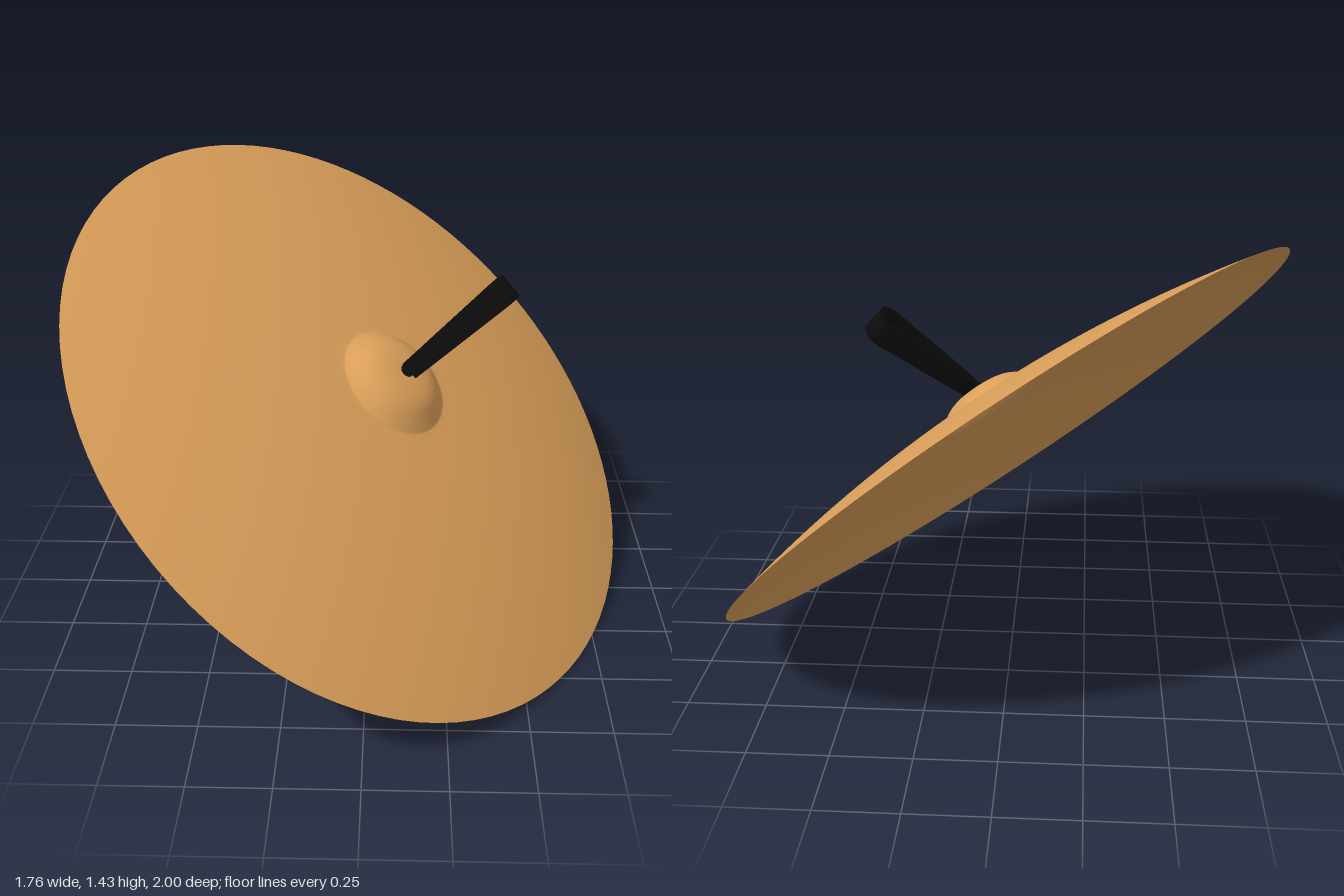
import * as THREE from 'three';

const RADIUS = 1.07;
const BELL_RADIUS = 0.195;
const BOW = 0.146;

const bronze = new THREE.MeshStandardMaterial({ color: 0xdca05a, side: THREE.DoubleSide });
const black = new THREE.MeshStandardMaterial({ color: 0x0c0c0c });

// Thin dish: gently bowed plate rising to a domed bell with a small centre hole
function createPlate() {
  const bowHeight = r => BOW * (1 - (r / RADIUS) ** 2.1);
  const profile = [];
  const steps = 28;
  for (let i = 0; i <= steps; i++) {
    const r = THREE.MathUtils.lerp(RADIUS, BELL_RADIUS, i / steps);
    profile.push(new THREE.Vector2(r, bowHeight(r)));
  }
  const bell = new THREE.SplineCurve([
    [0.19, 0.144], [0.175, 0.155], [0.15, 0.174], [0.125, 0.191],
    [0.095, 0.203], [0.06, 0.209], [0.022, 0.211],
  ].map(p => new THREE.Vector2(...p)));
  profile.push(...bell.getPoints(18));
  const plate = new THREE.Mesh(new THREE.LatheGeometry(profile, 96), bronze);
  plate.name = 'cymbalPlate';
  return plate;
}

// Teardrop outline of the strap loop; x runs along the strap, y across the opening
function teardrop(half, tip, start) {
  return new THREE.SplineCurve([
    [start, 0.003], [start + 0.12, half * 0.45], [tip - 0.13, half * 0.85],
    [tip - 0.05, half], [tip - 0.012, half * 0.65], [tip, 0],
    [tip - 0.012, -half * 0.65], [tip - 0.05, -half], [tip - 0.13, -half * 0.85],
    [start + 0.12, -half * 0.45], [start, -0.003],
  ].map(p => new THREE.Vector2(...p))).getPoints(60);
}

// Flat leather band folded into a loop, narrower where it enters the bell
function createStrap() {
  const shape = new THREE.Shape(teardrop(0.05, 0.42, -0.035));
  shape.holes.push(new THREE.Path(teardrop(0.033, 0.402, 0.02).reverse()));
  const geometry = new THREE.ExtrudeGeometry(shape, { depth: 0.08, bevelEnabled: false });
  geometry.translate(0, 0, -0.04);
  const pos = geometry.attributes.position;
  for (let i = 0; i < pos.count; i++) {
    const t = THREE.MathUtils.clamp(pos.getX(i) / 0.4, 0, 1);
    pos.setZ(i, pos.getZ(i) * THREE.MathUtils.lerp(0.75, 1.05, t));
  }
  geometry.computeVertexNormals();

  const strap = new THREE.Mesh(geometry, black);
  strap.name = 'handStrap';
  const base = new THREE.Vector3(0.128, 0.868, 0.063);
  const along = new THREE.Vector3(0.435, 1.125, -0.015).sub(base).normalize();
  const width = new THREE.Vector3(0.62, -0.74, 0.25);
  const across = width.cross(along).normalize();
  const side = along.clone().cross(across);
  strap.quaternion.setFromRotationMatrix(new THREE.Matrix4().makeBasis(along, across, side));
  strap.position.copy(base);
  return strap;
}

export function createModel() {
  const group = new THREE.Group();
  group.name = 'handCymbal';

  // Plate tilted towards the front left
  const plate = createPlate();
  const axis = new THREE.Vector3(0.569, 0.742, 0.355).normalize();
  plate.quaternion.setFromUnitVectors(new THREE.Vector3(0, 1, 0), axis);
  plate.position.y = 0.717;

  group.add(plate, createStrap());
  return group;
}
